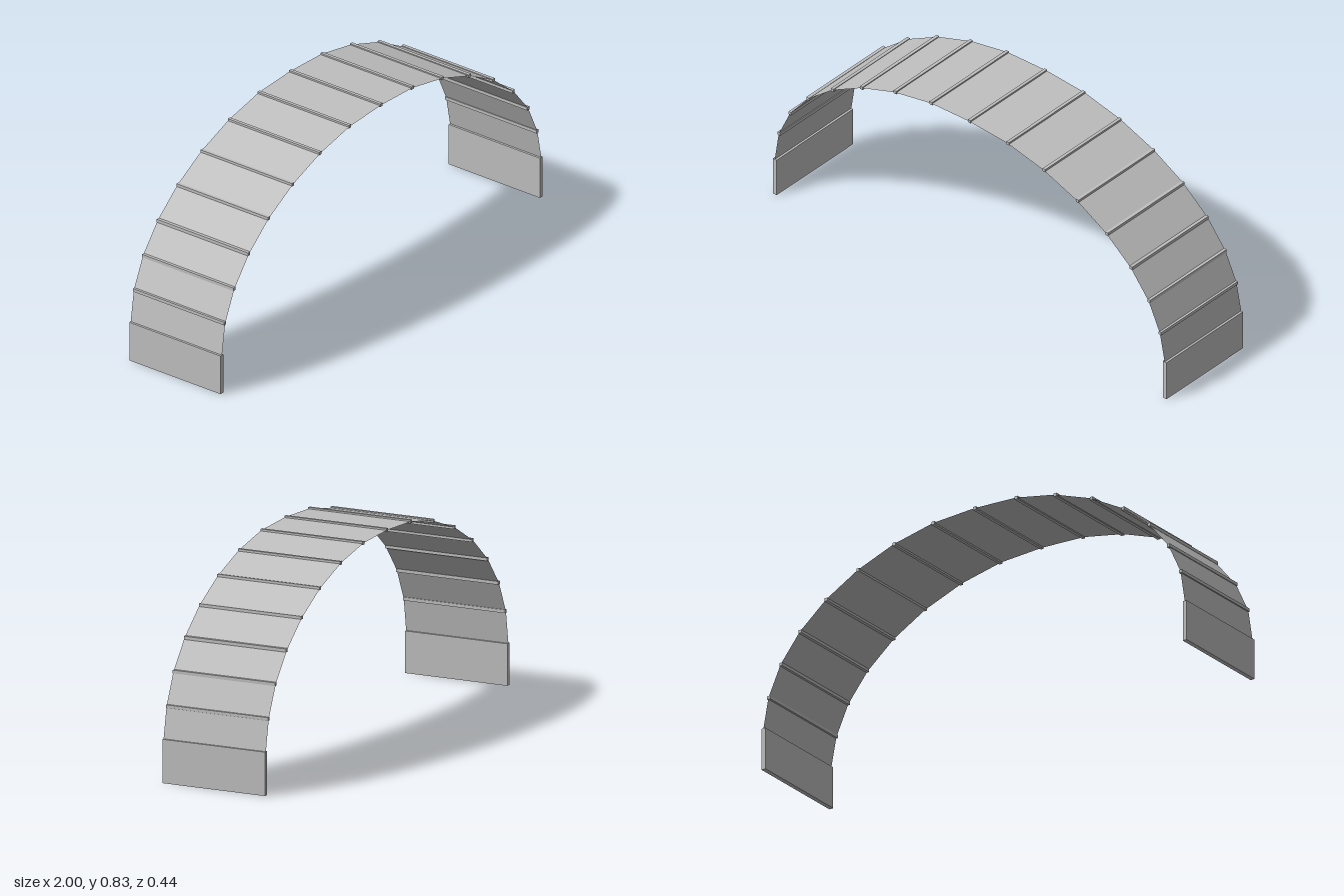
import * as THREE from 'three';

const DEPTH = 0.44;
const SHIFT = -0.002; // the ribs sit a touch left of the legs' centre

// Half of the arch, from the crown down to the last rib
const HALF = [
  [0, 0.825], [0.195, 0.816], [0.379, 0.778], [0.549, 0.716],
  [0.698, 0.633], [0.821, 0.532], [0.912, 0.419], [0.969, 0.295],
];

export function createModel() {
  const model = new THREE.Group();
  model.name = 'archedCanopy';
  const grey = new THREE.MeshStandardMaterial({ color: 0xc0c0c0 });
  grey.name = 'light grey';
  const sheetGrey = grey.clone();
  sheetGrey.side = THREE.DoubleSide;

  const addBox = (name, w, h, x, y) => {
    const mesh = new THREE.Mesh(new THREE.BoxGeometry(w, h, DEPTH), grey);
    mesh.name = name;
    mesh.position.set(x, y, 0);
    model.add(mesh);
  };

  // Upright side plates
  const legs = [['rightLeg', -1, 0.165], ['leftLeg', 1, 0.172]];
  for (const [name, side, height] of legs) {
    addBox(name, 0.018, height, side * 0.991, height / 2);
  }

  // Square ribs along the arch
  const ribs = [
    ...HALF.slice(1).reverse().map(([x, y]) => [SHIFT - x, y]),
    ...HALF.map(([x, y]) => [SHIFT + x, y]),
  ];
  ribs.forEach(([x, y], i) => addBox(`rib${i + 1}`, 0.013, 0.013, x, y));

  // Thin flat panels from leg to leg through the ribs
  const path = [[-0.991, 0.165], ...ribs, [0.991, 0.172]];
  const points = [];
  const d = DEPTH / 2;
  for (let i = 0; i < path.length - 1; i++) {
    const [ax, ay] = path[i], [bx, by] = path[i + 1];
    points.push(ax, ay, d, bx, by, d, bx, by, -d);
    points.push(ax, ay, d, bx, by, -d, ax, ay, -d);
  }
  const sheet = new THREE.BufferGeometry();
  sheet.setAttribute('position', new THREE.Float32BufferAttribute(points, 3));
  sheet.computeVertexNormals();
  const canopy = new THREE.Mesh(sheet, sheetGrey);
  canopy.name = 'canopySheet';
  model.add(canopy);

  return model;
}
